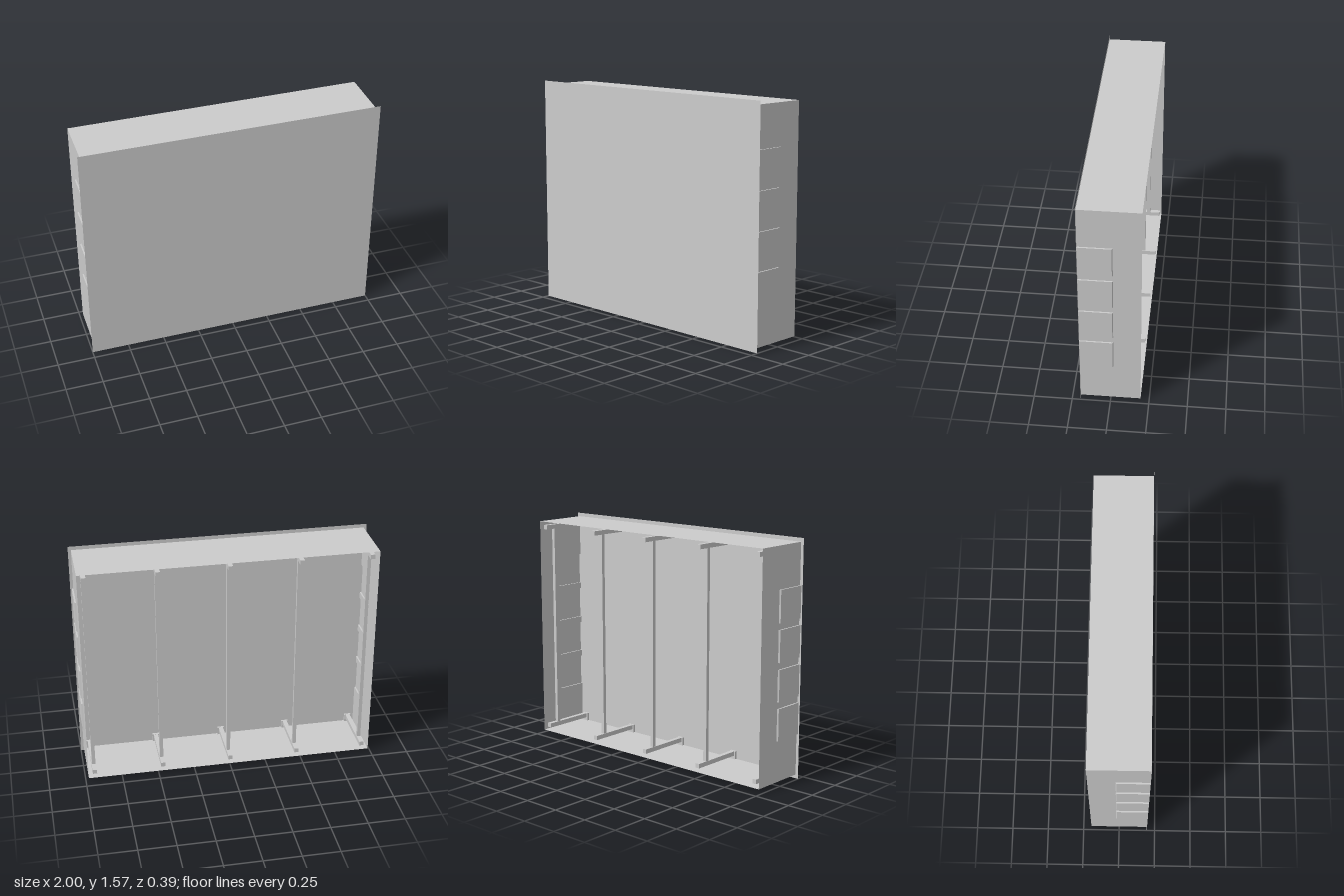
import * as THREE from 'three';

const W = 0.98, Y0 = 0.025, Y1 = 1.545, Z = 0.195;   // casing half width, bottom, top, half depth
const BULGE = 0.99, BACK = -0.02;                     // side pocket depth and rear edge
const POCKETS = [0.30, 0.553, 0.807, 1.06], POCKET_H = 0.21;

export function createModel() {
  const model = new THREE.Group();
  const mat = new THREE.MeshStandardMaterial({ color: 0xcccccc, flatShading: true, side: THREE.DoubleSide });

  const add = (parent, name, geometry, x = 0, y = 0, z = 0) => {
    const mesh = new THREE.Mesh(geometry, mat);
    mesh.name = name;
    mesh.position.set(x, y, z);
    parent.add(mesh);
    return mesh;
  };
  const box = (parent, name, size, x, y, z) => add(parent, name, new THREE.BoxGeometry(...size), x, y, z);

  // Sheet from four corners
  const quad = (parent, name, a, b, c, d) => {
    const g = new THREE.BufferGeometry();
    g.setAttribute('position', new THREE.Float32BufferAttribute([...a, ...b, ...c, ...a, ...c, ...d], 3));
    g.computeVertexNormals();
    return add(parent, name, g);
  };

  // Front panel, a little larger than the casing
  add(model, 'frontPanel', new THREE.PlaneGeometry(2, 1.57), 0, 0.785, Z);

  // Top and bottom sheets
  for (const [name, y] of [['topSheet', Y1], ['bottomSheet', Y0]])
    add(model, name, new THREE.PlaneGeometry(2 * W, 2 * Z).rotateX(-Math.PI / 2), 0, y, 0);

  // Side sheets, notched along the front edge where the pockets open
  const outline = new THREE.Shape();
  outline.moveTo(-Z, Y0).lineTo(Z, Y0);
  for (const y of POCKETS)
    outline.lineTo(Z, y).lineTo(BACK, y).lineTo(BACK, y + POCKET_H).lineTo(Z, y + POCKET_H);
  outline.lineTo(Z, Y1).lineTo(-Z, Y1).closePath();

  for (const s of [1, -1]) {
    const side = new THREE.Group();
    side.name = s > 0 ? 'leftSide' : 'rightSide';
    model.add(side);
    add(side, 'sideSheet', new THREE.ShapeGeometry(outline).rotateY(-Math.PI / 2), s * W, 0, 0);

    // Shallow pockets bulging outwards, with a sloped rear edge
    for (const y of POCKETS) {
      const t = y + POCKET_H, i = s * W, o = s * BULGE, zo = BACK + 0.005;
      quad(side, 'pocketFace', [o, y, Z], [o, y, zo], [o, t, zo], [o, t, Z]);
      quad(side, 'pocketRear', [o, y, zo], [i, y, BACK], [i, t, BACK], [o, t, zo]);
      for (const h of [y, t])
        quad(side, 'pocketEdge', [i, h, Z], [i, h, BACK], [o, h, zo], [o, h, Z]);
    }
  }

  // Five inner frames: upright post, top and bottom rails, front brackets
  for (let k = -2; k <= 2; k++) {
    const frame = new THREE.Group();
    frame.name = 'supportFrame';
    frame.position.x = k * 0.468;
    model.add(frame);
    const low = Y0 + 0.04, high = Y1 - 0.04;
    box(frame, 'post', [0.024, high - low, 0.024], 0, (low + high) / 2, -0.1);
    for (const [name, y, edge] of [['bottom', low, Y0 + 0.0285], ['top', high, Y1 - 0.0285]]) {
      box(frame, name + 'Rail', [0.03, 0.03, 0.365], 0, y, -0.0025);
      box(frame, name + 'Bracket', [0.046, 0.055, 0.016], 0, edge, 0.186);
    }
  }
  return model;
}
